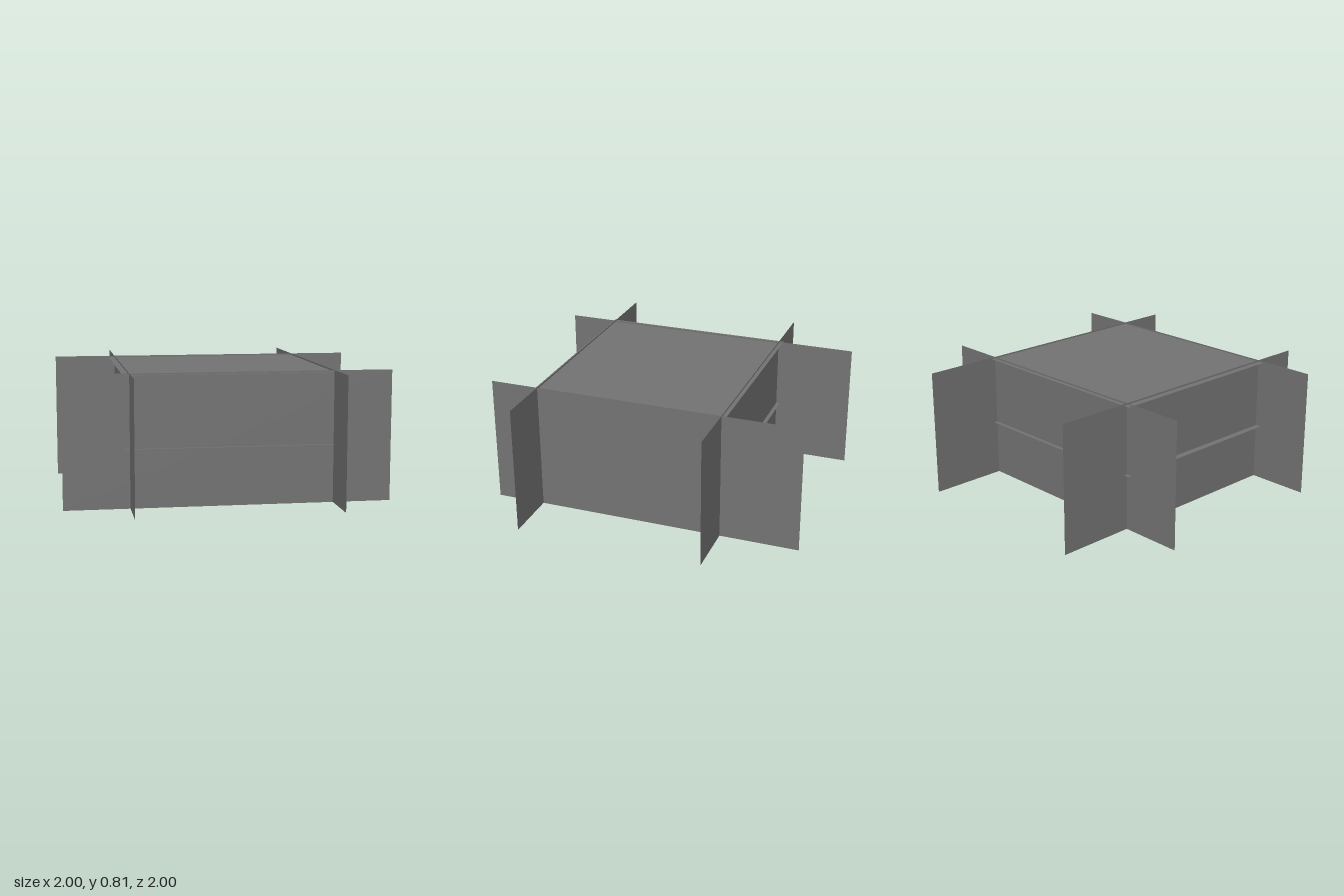
import * as THREE from 'three';

const HEIGHT = 0.81;
const dark = new THREE.MeshStandardMaterial({ color: 0x747474, side: THREE.DoubleSide });
const grey = new THREE.MeshStandardMaterial({ color: 0xcccccc });

export function createModel() {
  const group = new THREE.Group();

  function add(name, geometry, material, x, y, z) {
    const mesh = new THREE.Mesh(geometry, material);
    mesh.name = name;
    mesh.position.set(x, y, z);
    group.add(mesh);
    return mesh;
  }

  // Long upright sheets that cross at the four corners
  const sheet = new THREE.PlaneGeometry(2, HEIGHT);
  add('frontWall', sheet, dark, 0, HEIGHT / 2, 0.69);
  add('backWall', sheet, dark, 0, HEIGHT / 2, -0.5);
  add('leftWall', sheet, dark, 0.64, HEIGHT / 2, 0).rotation.y = Math.PI / 2;
  add('rightWall', sheet, dark, -0.6, HEIGHT / 2, 0).rotation.y = Math.PI / 2;

  // Level sheets, slightly overhanging the walls on three sides
  const deck = new THREE.PlaneGeometry(1.28, 1.235).rotateX(-Math.PI / 2);
  add('topPanel', deck, dark, 0, 0.8, 0.092);
  add('middleShelf', deck, dark, 0, 0.36, 0.092);

  // Small blocks hung below the shelf
  const block = new THREE.BoxGeometry(0.14, 0.12, 0.16);
  add('hangingBlockFront', block, grey, -0.27, 0.299, 0.54);
  add('hangingBlockBack', block, grey, -0.46, 0.299, -0.155);

  // Thin strips on the underside of the shelf
  add('shelfStripLong', new THREE.BoxGeometry(0.03, 0.012, 0.22), grey, -0.42, 0.353, 0.37);
  add('shelfStripShort', new THREE.BoxGeometry(0.09, 0.012, 0.03), grey, 0.2, 0.353, 0.53);

  return group;
}
